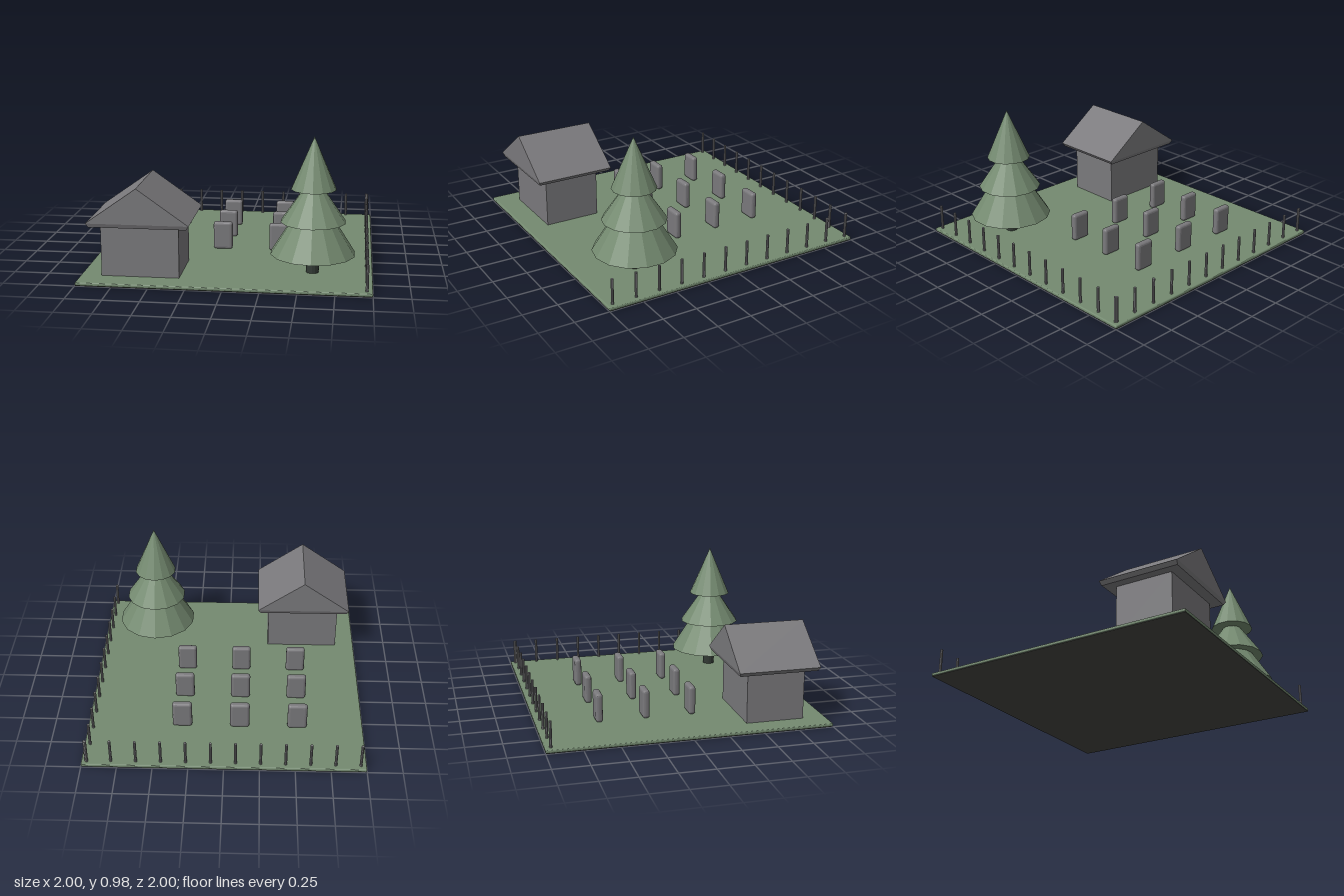
import * as THREE from 'three';
import { RoundedBoxGeometry } from 'three/addons/geometries/RoundedBoxGeometry.js';

const green = new THREE.MeshStandardMaterial({ name: 'mossGreen', color: 0x748a70, flatShading: true });
const stone = new THREE.MeshStandardMaterial({ name: 'stoneGrey', color: 0x7a797c, flatShading: true });
const bark = new THREE.MeshStandardMaterial({ name: 'darkBark', color: 0x323a34, flatShading: true });
const earth = new THREE.MeshStandardMaterial({ name: 'darkEarth', color: 0x444541 });

function add(parent, name, geometry, material, x, y, z) {
  const mesh = new THREE.Mesh(geometry, material);
  mesh.name = name;
  mesh.position.set(x, y, z);
  parent.add(mesh);
  return mesh;
}

function group(parent, name, x = 0, z = 0) {
  const g = new THREE.Group();
  g.name = name;
  g.position.set(x, 0, z);
  parent.add(g);
  return g;
}

// Box whose bottom face is drawn in, for the underside of the eaves
function taperedBox(w, h, d, inX, inZ) {
  const geo = new THREE.BoxGeometry(w, h, d);
  const p = geo.attributes.position;
  for (let i = 0; i < p.count; i++) {
    if (p.getY(i) < 0) {
      p.setX(i, p.getX(i) - Math.sign(p.getX(i)) * inX);
      p.setZ(i, p.getZ(i) - Math.sign(p.getZ(i)) * inZ);
    }
  }
  geo.computeVertexNormals();
  return geo;
}

export function createModel() {
  const model = new THREE.Group();
  model.name = 'graveyard';

  // Ground slab with softened edges and a dark underside
  add(model, 'ground', new RoundedBoxGeometry(2, 0.024, 2, 2, 0.009), green, 0, 0.014, 0);
  add(model, 'underside', new THREE.BoxGeometry(1.992, 0.005, 1.992), earth, 0, 0.0025, 0);

  // Crypt: walls, eaves and gabled roof
  const crypt = group(model, 'crypt', -0.583, 0.626);
  add(crypt, 'walls', new THREE.BoxGeometry(0.54, 0.375, 0.415), stone, 0, 0.2055, 0);
  add(crypt, 'eaves', taperedBox(0.706, 0.028, 0.584, 0.02, 0.01), stone, 0, 0.403, 0);
  const gable = new THREE.Shape();
  gable.moveTo(-0.353, 0);
  gable.lineTo(0.353, 0);
  gable.lineTo(0, 0.25);
  gable.closePath();
  const roofGeo = new THREE.ExtrudeGeometry(gable, { depth: 0.584, bevelEnabled: false });
  add(crypt, 'roof', roofGeo, stone, 0, 0.417, -0.292);

  // Fir tree: [base height, radius, cone height] for each tier
  const tree = group(model, 'tree', 0.584, 0.584);
  add(tree, 'trunk', new THREE.CylinderGeometry(0.045, 0.045, 0.2, 14), bark, 0, 0.12, 0);
  for (const [y, r, h] of [[0.163, 0.297, 0.475], [0.39, 0.227, 0.333], [0.619, 0.157, 0.365]]) {
    add(tree, 'foliage', new THREE.ConeGeometry(r, h, 14), green, 0, y + h / 2, 0);
  }

  // Headstones in a three by three grid
  const stones = group(model, 'headstones');
  const stoneGeo = new RoundedBoxGeometry(0.142, 0.208, 0.05, 2, 0.02);
  for (const x of [-0.522, -0.105, 0.312]) {
    for (const z of [-0.563, -0.23, 0.104]) add(stones, 'headstone', stoneGeo, stone, x, 0.129, z);
  }

  // Fence posts along the back and the left side
  const fence = group(model, 'fence');
  const postGeo = new THREE.CylinderGeometry(0.01, 0.01, 0.19, 8);
  for (let i = 0; i < 12; i++) {
    add(fence, 'backPost', postGeo, stone, -0.958 + i * 0.175, 0.115, -0.96);
    add(fence, 'sidePost', postGeo, stone, 0.96, 0.115, -0.967 + i * 0.175);
  }
  return model;
}
